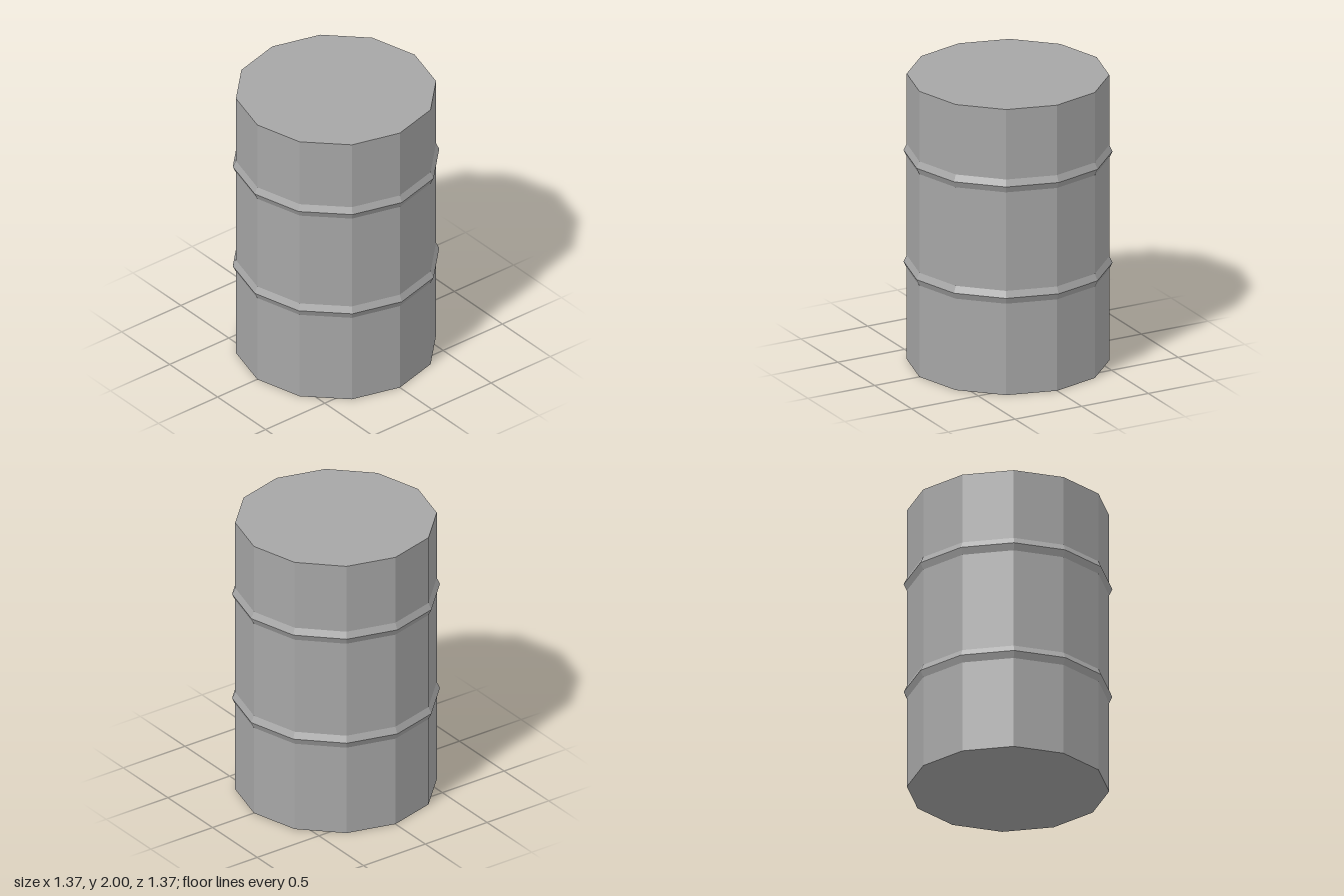
import * as THREE from 'three';

const SIDES = 12;
const RADIUS = 0.665;

export function createModel() {
  const barrel = new THREE.Group();
  barrel.name = 'barrel';

  const steel = new THREE.MeshStandardMaterial({ color: 0xa6a6a6, flatShading: true });
  steel.name = 'grey steel';

  // Closed twelve-sided drum
  const drum = new THREE.Mesh(new THREE.CylinderGeometry(RADIUS, RADIUS, 2, SIDES), steel);
  drum.name = 'drum';
  drum.position.y = 1;
  barrel.add(drum);

  // Pointed rolling hoops around the drum
  const hoopProfile = [
    new THREE.Vector2(RADIUS, -0.045),
    new THREE.Vector2(0.686, 0),
    new THREE.Vector2(RADIUS, 0.045),
  ];
  const hoopGeometry = new THREE.LatheGeometry(hoopProfile, SIDES);
  for (const [name, y] of [['lowerHoop', 0.685], ['upperHoop', 1.465]]) {
    const hoop = new THREE.Mesh(hoopGeometry, steel);
    hoop.name = name;
    hoop.position.y = y;
    barrel.add(hoop);
  }

  return barrel;
}
